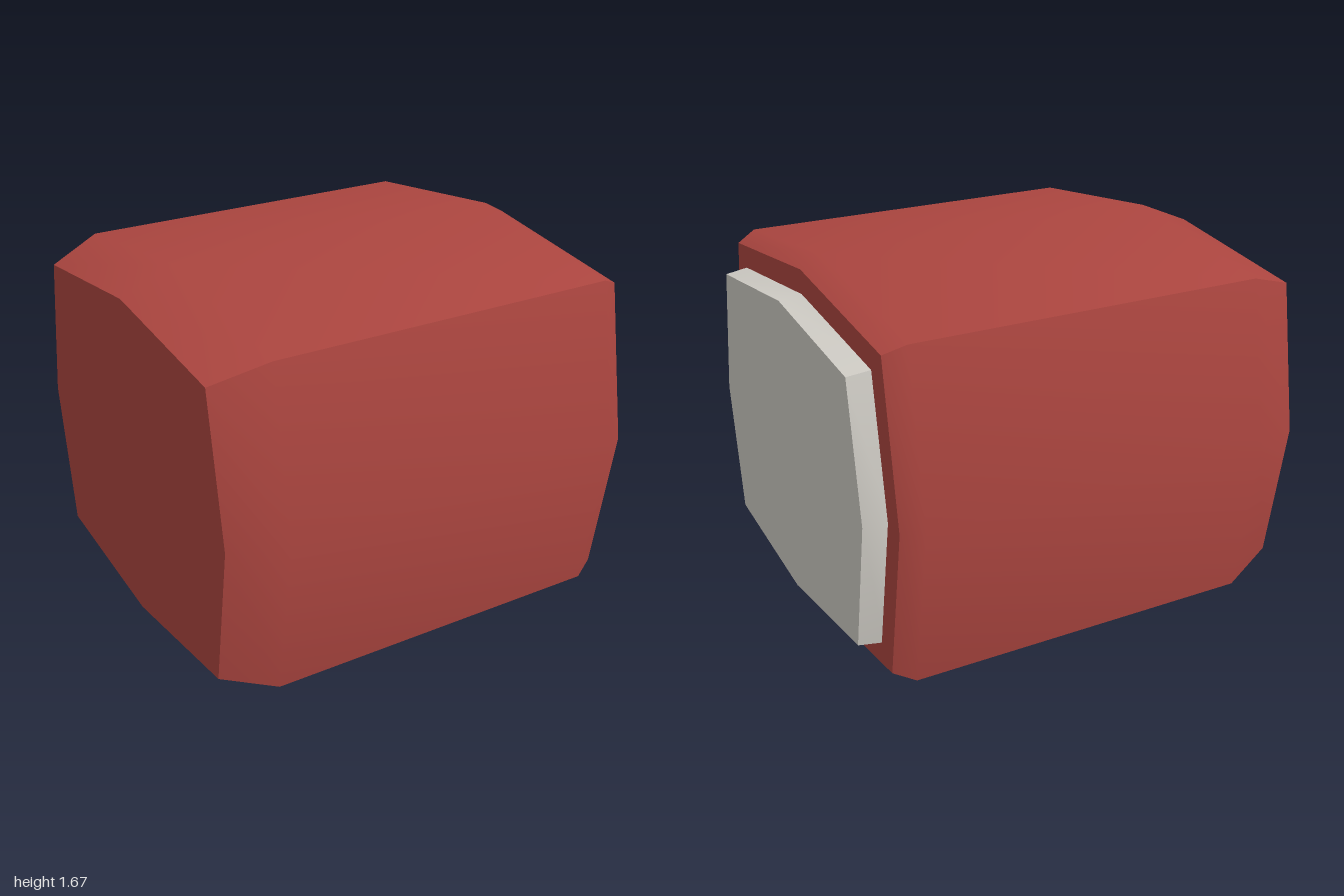
import * as THREE from 'three';
import { toCreasedNormals } from 'three/addons/utils/BufferGeometryUtils.js';

const CENTER_Y = 0.835;

// Eight-sided bulged section: middle half sizes (my, mz), corner half sizes (cy, cz)
function ring([x, my, mz, cy, cz]) {
  return [[my, 0], [cy, cz], [0, mz], [-cy, cz], [-my, 0], [-cy, -cz], [0, -mz], [cy, -cz]]
    .map(([y, z]) => [x, CENTER_Y + y, z]);
}

// Closed solid lofted through sections along x
function loft(sections) {
  const rings = sections.map(ring);
  const last = rings.length - 1;
  const pos = [];
  const tri = (...pts) => pts.forEach((p) => pos.push(...p));
  for (let j = 0; j < 8; j++) {
    const k = (j + 1) % 8;
    for (let i = 0; i < last; i++) {
      const a = rings[i], b = rings[i + 1];
      tri(a[j], a[k], b[k]);
      tri(a[j], b[k], b[j]);
    }
    tri([sections[0][0], CENTER_Y, 0], rings[0][k], rings[0][j]);
    tri([sections[last][0], CENTER_Y, 0], rings[last][j], rings[last][k]);
  }
  const geometry = new THREE.BufferGeometry();
  geometry.setAttribute('position', new THREE.Float32BufferAttribute(pos, 3));
  return toCreasedNormals(geometry, 0.7);
}

export function createModel() {
  const red = new THREE.MeshStandardMaterial({ color: 0xad4640 });
  red.name = 'brick red';
  const grey = new THREE.MeshStandardMaterial({ color: 0xcfccc5 });
  grey.name = 'pale grey';

  const group = new THREE.Group();
  const add = (name, sections, material) => {
    const mesh = new THREE.Mesh(loft(sections), material);
    mesh.name = name;
    group.add(mesh);
  };

  // Bulged body tapering at both ends
  add('body', [
    [-1, 0.735, 0.857, 0.645, 0.75],
    [-0.765, 0.835, 0.95, 0.725, 0.83],
    [0.81, 0.835, 0.95, 0.725, 0.83],
    [0.9, 0.785, 0.905, 0.685, 0.79],
  ], red);

  // Raised plate on the left end
  add('endPlate', [
    [0.89, 0.681, 0.801, 0.596, 0.696],
    [1, 0.667, 0.786, 0.582, 0.686],
  ], grey);

  return group;
}
